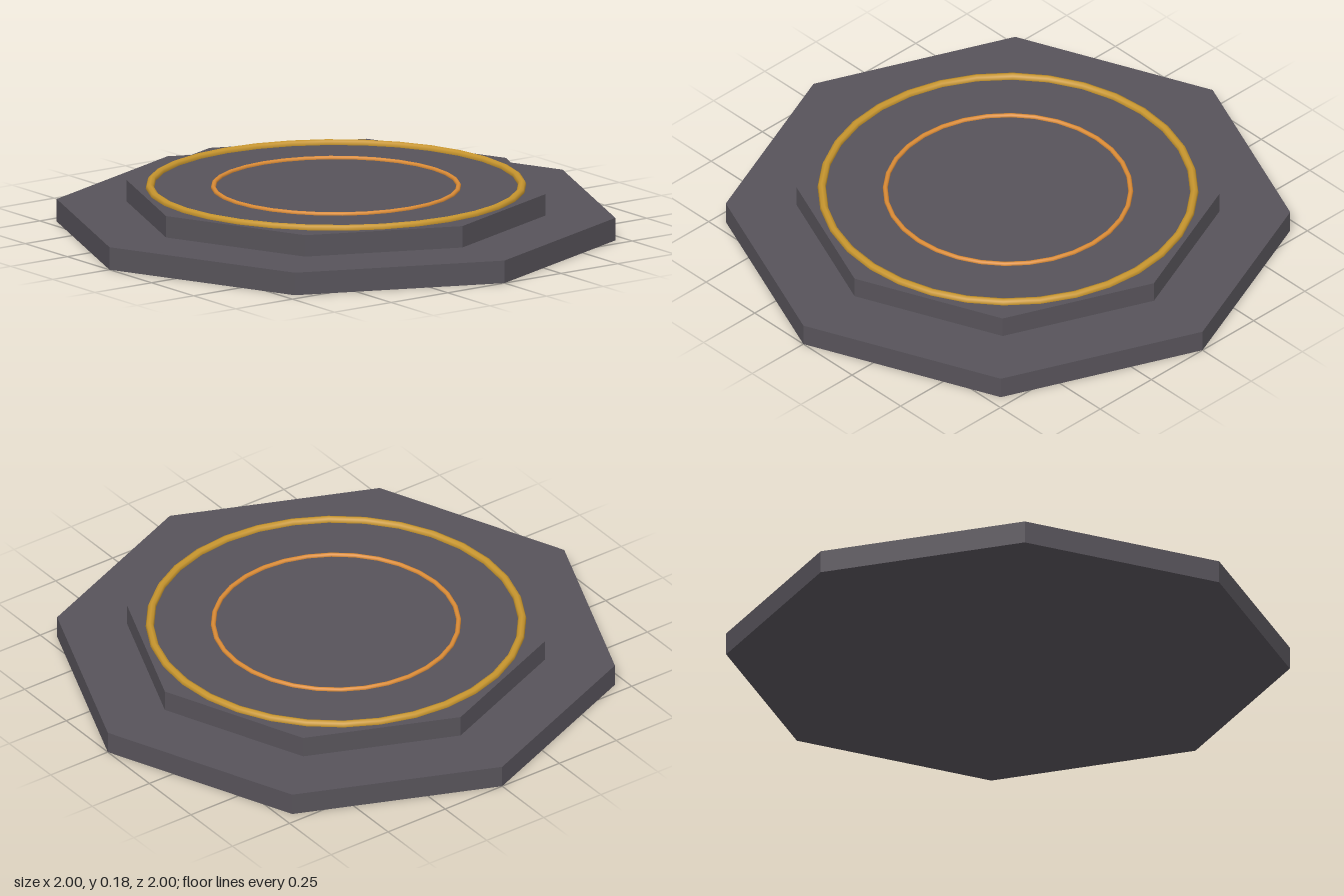
import * as THREE from 'three';

export function createModel() {
  const model = new THREE.Group();
  model.name = 'octagonalDais';

  const material = (name, color) => {
    const m = new THREE.MeshStandardMaterial({ color });
    m.name = name;
    return m;
  };
  const stone = material('dark stone', 0x57535a);
  const gold = material('gold', 0xc8962e);
  const amber = material('amber', 0xdc8c36);

  const add = (name, geometry, mat, y) => {
    const mesh = new THREE.Mesh(geometry, mat);
    mesh.name = name;
    mesh.position.y = y;
    model.add(mesh);
  };

  // Eight-sided slab with hard edges and corners on the axes
  const slab = (radius, height) => {
    const g = new THREE.CylinderGeometry(radius, radius, height, 8).toNonIndexed();
    g.computeVertexNormals();
    return g;
  };
  // Horizontal inlaid ring
  const ring = (radius, tube) =>
    new THREE.TorusGeometry(radius, tube, 8, 32).rotateX(-Math.PI / 2);

  add('lowerStep', slab(1, 0.082), stone, 0.041);
  add('upperStep', slab(0.75, 0.078), stone, 0.121);

  add('outerRing', ring(0.66, 0.015), gold, 0.163);
  add('innerRing', ring(0.435, 0.009), amber, 0.162);

  return model;
}
